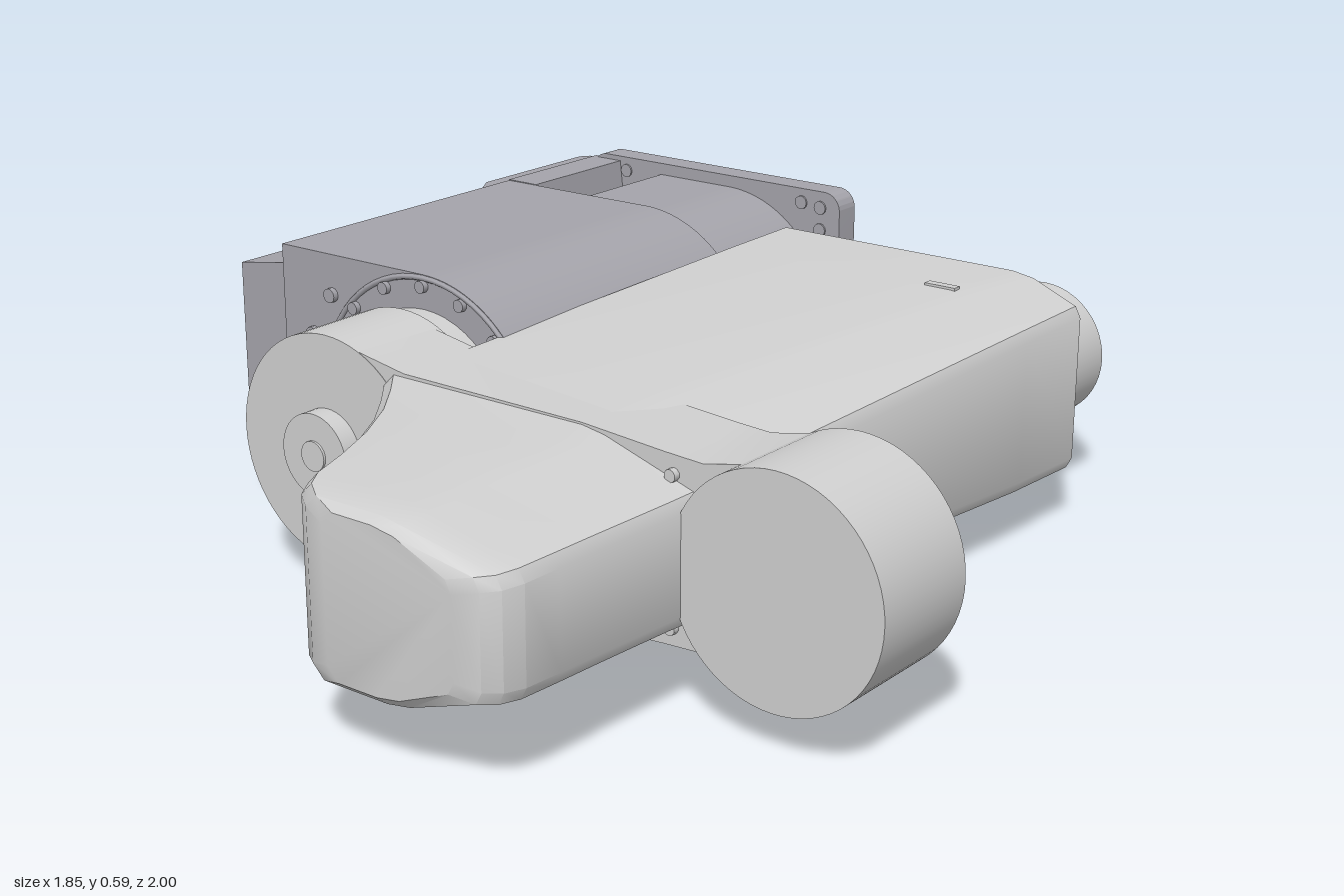
import * as THREE from 'three';
import { toCreasedNormals } from 'three/addons/utils/BufferGeometryUtils.js';

const CY = 0.305; // mid height shared by all parts
const SX = -0.35; // shoulder axis x
const EX = 0.71; // elbow disc x

export function createModel() {
  const root = new THREE.Group();
  const mat = (name, color) => {
    const m = new THREE.MeshStandardMaterial({ color });
    m.name = name;
    return m;
  };
  const baseGrey = mat('base grey', 0xa5a4ab);
  const armGrey = mat('arm grey', 0xd0d0d0);
  const darkGrey = mat('dark grey', 0x85848a);

  const add = (name, geo, m, x = 0, y = 0, z = 0, parent = root) => {
    const mesh = new THREE.Mesh(geo, m);
    mesh.name = name;
    mesh.position.set(x, y, z);
    parent.add(mesh);
    return mesh;
  };
  const box = (name, m, x0, x1, y0, y1, z0, z1) =>
    add(name, new THREE.BoxGeometry(x1 - x0, y1 - y0, z1 - z0), m, (x0 + x1) / 2, (y0 + y1) / 2, (z0 + z1) / 2);
  // cylinder along z, r1 at the z1 end
  const cyl = (name, m, x, y, z0, z1, r, r1 = r, seg = 48) =>
    add(name, new THREE.CylinderGeometry(r1, r, z1 - z0, seg).rotateX(Math.PI / 2), m, x, y, (z0 + z1) / 2);
  // cylinder along x
  const cylX = (name, m, x0, x1, y, z, r, seg = 24) =>
    add(name, new THREE.CylinderGeometry(r, r, x1 - x0, seg).rotateZ(Math.PI / 2), m, (x0 + x1) / 2, y, z);
  const polygon = (points) => new THREE.Shape(points.map(([x, y]) => new THREE.Vector2(x, y)));
  // shape drawn around the mid height, extruded from z0 to z1
  const slab = (name, m, shape, z0, z1) => {
    const g = new THREE.ExtrudeGeometry(shape, { depth: z1 - z0, bevelEnabled: false, curveSegments: 32 });
    return add(name, toCreasedNormals(g, 0.6), m, 0, CY, z0);
  };
  // outline of [x, -z] points, extruded upward from y0 to y1
  const upright = (name, m, points, y0, y1) =>
    add(name, new THREE.ExtrudeGeometry(polygon(points), { depth: y1 - y0, bevelEnabled: false }).rotateX(-Math.PI / 2), m, 0, y0, 0);
  const roundRect = (x0, x1, h, r) => {
    const s = new THREE.Shape();
    s.absarc(x1 - r, -h + r, r, -Math.PI / 2, 0);
    s.absarc(x1 - r, h - r, r, 0, Math.PI / 2);
    s.absarc(x0 + r, h - r, r, Math.PI / 2, Math.PI);
    s.absarc(x0 + r, -h + r, r, Math.PI, Math.PI * 1.5);
    return s;
  };
  const ring = (name, m, x, r, n, z0, z1, size, from = 0) => {
    for (let i = 0; i < n; i++) {
      const a = from + (i / n) * Math.PI * 2;
      cyl(name, m, x + Math.cos(a) * r, CY + Math.sin(a) * r, z0, z1, size, size, 10);
    }
  };

  // Base housing: flat on the left, round around the shoulder axis
  const front = new THREE.Shape();
  front.moveTo(-0.74, 0.283);
  front.lineTo(-0.74, -0.283);
  front.absarc(SX, 0, 0.285, -Math.PI / 2, Math.PI / 2);
  slab('baseHousing', baseGrey, front, -0.47, 0.23);

  // Rear of the housing, slightly lower and with hand pockets above and below
  const rear = new THREE.Shape();
  const pocket = [[-0.66, 0.285], [-0.645, 0.15], [-0.57, 0.15], [-0.54, 0.27]];
  rear.moveTo(-0.74, -0.285);
  pocket.forEach(([x, y]) => rear.lineTo(x, -y));
  rear.absarc(SX, 0, 0.27, -Math.PI / 2, Math.PI / 2);
  [...pocket].reverse().forEach(([x, y]) => rear.lineTo(x, y));
  rear.lineTo(-0.74, 0.285);
  slab('baseRear', baseGrey, rear, -0.78, -0.47);
  box('bottomCover', darkGrey, -0.5, -0.22, 0.028, 0.05, -0.74, -0.52);

  // Mounting plate with corner bolts and a round cover
  slab('mountingPlate', baseGrey, roundRect(-0.74, -0.05, 0.296, 0.04), -0.83, -0.77);
  cyl('plateCover', armGrey, SX, CY, -0.842, -0.82, 0.15);
  for (const s of [-1, 1]) {
    for (const [x, y] of [[-0.1, 0.26], [-0.15, 0.265], [-0.1, 0.21], [-0.69, 0.26], [-0.64, 0.265], [-0.69, 0.21]]) {
      cyl('plateBolt', baseGrey, x, CY + s * y, -0.834, -0.766, 0.015, 0.015, 12);
    }
  }

  // Shoulder: neck, bolt ring and disc
  cyl('shoulderNeck', armGrey, SX, CY, 0.2, 0.31, 0.215);
  add('shoulderRim', new THREE.TorusGeometry(0.278, 0.006, 6, 64), baseGrey, SX, CY, 0.23);
  ring('shoulderBolt', baseGrey, SX, 0.262, 16, 0.22, 0.242, 0.013);
  cyl('baseKnob', baseGrey, -0.675, CY, 0.22, 0.27, 0.026, 0.026, 16);
  for (const y of [-0.2, -0.11, 0.11, 0.2]) {
    cyl('baseBolt', baseGrey, Math.abs(y) > 0.15 ? -0.6 : -0.655, CY + y, 0.22, 0.242, 0.015, 0.015, 12);
  }
  cyl('shoulderDisc', armGrey, SX, CY, 0.29, 0.5, 0.23, 0.228, 64);
  cyl('shoulderHub', armGrey, SX, CY, 0.49, 0.54, 0.083);
  cyl('shoulderHubCentre', armGrey, SX, CY, 0.535, 0.545, 0.03, 0.03, 24);

  // Cross link from shoulder disc to elbow disc
  const half = [[SX, 0.226], [-0.15, 0.192], [0.27, 0.189], [0.45, 0.176], [0.53, 0.172], [EX, 0.21]];
  slab('crossLink', armGrey, polygon([...half.map(([x, y]) => [x, -y]), ...[...half].reverse()]), 0.301, 0.499);
  cyl('elbowDisc', armGrey, EX, CY, 0.3, 0.545, 0.214, 0.214, 64);
  box('elbowBlock', armGrey, 0.825, 0.865, 0.285, 0.33, 0.27, 0.31);
  ring('elbowBolt', armGrey, EX, 0.19, 6, 0.29, 0.305, 0.011, 0.3);
  for (const s of [-1, 1]) {
    for (const x of [0.47, 0.56]) cyl('linkBolt', armGrey, x, CY + s * 0.14, 0.285, 0.512, 0.012, 0.012, 10);
  }

  // Arm shell: sections of [z, left, right, half height, crease x, side half height]
  const sections = [
    [-0.72, -0.16, 0.57, 0.212, 0.44, 0.155],
    [-0.705, -0.17, 0.58, 0.222, 0.45, 0.165],
    [-0.5, -0.17, 0.575, 0.219, 0.42, 0.16],
    [0.3, -0.18, 0.535, 0.195, 0.31, 0.125],
    [0.5, -0.2, 0.523, 0.185, 0.3, 0.11],
    [0.56, -0.15, 0.519, 0.182, 0.3, 0.108],
    [0.64, -0.09, 0.515, 0.18, 0.3, 0.107],
    [0.74, -0.035, 0.51, 0.177, 0.29, 0.106],
    [0.84, 0.005, 0.506, 0.174, 0.29, 0.105],
    [0.92, 0.03, 0.502, 0.171, 0.29, 0.104],
    [0.96, 0.055, 0.49, 0.169, 0.29, 0.102],
    [0.985, 0.09, 0.465, 0.164, 0.29, 0.1],
    [1.0, 0.14, 0.42, 0.15, 0.28, 0.09],
  ];
  const pos = [], idx = [], N = 12;
  for (const [z, l, r, h, c, s] of sections) {
    const top = [[r, s - 0.015], [r - 0.012, s + 0.008], [c + 0.02, h - 0.008], [c - 0.03, h], [l + 0.025, h], [l, h - 0.025]];
    const loop = [...top, ...[...top].reverse().map(([x, y]) => [x, -y])];
    loop.forEach(([x, y]) => pos.push(x, y, z));
  }
  const last = (sections.length - 1) * N;
  for (let i = 0; i < last; i += N) {
    for (let j = 0; j < N; j++) {
      const k = (j + 1) % N;
      idx.push(i + j, i + k, i + N + k, i + j, i + N + k, i + N + j);
    }
  }
  for (let j = 1; j < N - 1; j++) idx.push(0, j + 1, j, last, last + j, last + j + 1);
  const shell = new THREE.BufferGeometry();
  shell.setAttribute('position', new THREE.Float32BufferAttribute(pos, 3));
  shell.setIndex(idx);
  add('armShell', toCreasedNormals(shell, 0.5), armGrey, 0, CY, 0);
  slab('armEndBoss', armGrey, roundRect(0, 0.13, 0.11, 0.064), -0.735, -0.71);
  for (const s of [-1, 1]) {
    for (const x of [0.03, 0.25, 0.5]) cyl('armEndBolt', armGrey, x, CY + s * 0.165, -0.728, -0.71, 0.014, 0.014, 10);
    box('armLug', armGrey, 0.33, 0.4, CY + s * 0.214 - 0.01, CY + s * 0.214 + 0.01, -0.53, -0.51);
  }

  // Wrist and tool flange
  cyl('wristBody', armGrey, 0.385, CY, -0.91, -0.7, 0.145);
  cyl('wristCap', armGrey, 0.385, CY, -0.935, -0.9, 0.105);
  cyl('wristCollar', armGrey, 0.385, CY, -0.965, -0.93, 0.085);
  cyl('toolFlange', armGrey, 0.385, CY, -1.0, -0.96, 0.063);
  cyl('flangeCentre', armGrey, 0.385, CY, -1.002, -0.99, 0.027, 0.027, 24);
  ring('wristBolt', armGrey, 0.385, 0.118, 8, -0.935, -0.9, 0.012, 0.4);

  // Side terminal box, narrowing outward
  slab('terminalBox', baseGrey, polygon([[-0.73, -0.24], [-0.73, 0.24], [-0.885, 0.215], [-0.885, -0.215]]), -0.12, 0.21);
  for (const y of [-0.19, 0.19]) {
    for (const z of [-0.08, 0.18]) cylX('terminalBolt', baseGrey, -0.898, -0.88, CY + y, z, 0.012, 10);
  }

  // Connector panel with fittings
  upright('connectorPanel', baseGrey, [[-0.73, 0.8], [-0.775, 0.8], [-0.79, 0.78], [-0.79, 0.45], [-0.74, 0.37], [-0.73, 0.37]], 0.03, 0.58);
  for (const [y, z, r] of [[0.47, -0.56, 0.035], [0.33, -0.7, 0.035], [0.14, -0.57, 0.028], [0.14, -0.7, 0.028]]) {
    cylX('fittingBase', baseGrey, -0.825, -0.78, y, z, r);
    cylX('fittingTip', darkGrey, -0.855, -0.82, y, z, r * 0.65);
  }
  for (const y of [0.08, 0.53]) for (const z of [-0.76, -0.47]) cylX('panelBolt', baseGrey, -0.8, -0.78, y, z, 0.012, 10);

  // Angled main connector on a wedge
  upright('connectorWedge', baseGrey, [[-0.73, 0.28], [-0.73, 0.1], [-0.83, 0.1], [-0.83, 0.14]], CY - 0.15, CY + 0.15);
  const plug = new THREE.Group();
  plug.name = 'mainConnector';
  plug.position.set(-0.768, CY, -0.2);
  plug.rotation.set(-Math.PI / 2, 0.55, 0, 'YXZ');
  add('plugBlock', new THREE.BoxGeometry(0.14, 0.12, 0.21), baseGrey, 0, 0.04, 0, plug);
  add('plugBody', new THREE.CylinderGeometry(0.066, 0.066, 0.1, 32), baseGrey, 0, 0.14, 0, plug);
  add('plugCap', new THREE.CylinderGeometry(0.055, 0.062, 0.03, 32), darkGrey, 0, 0.2, 0, plug);
  root.add(plug);

  return root;
}
